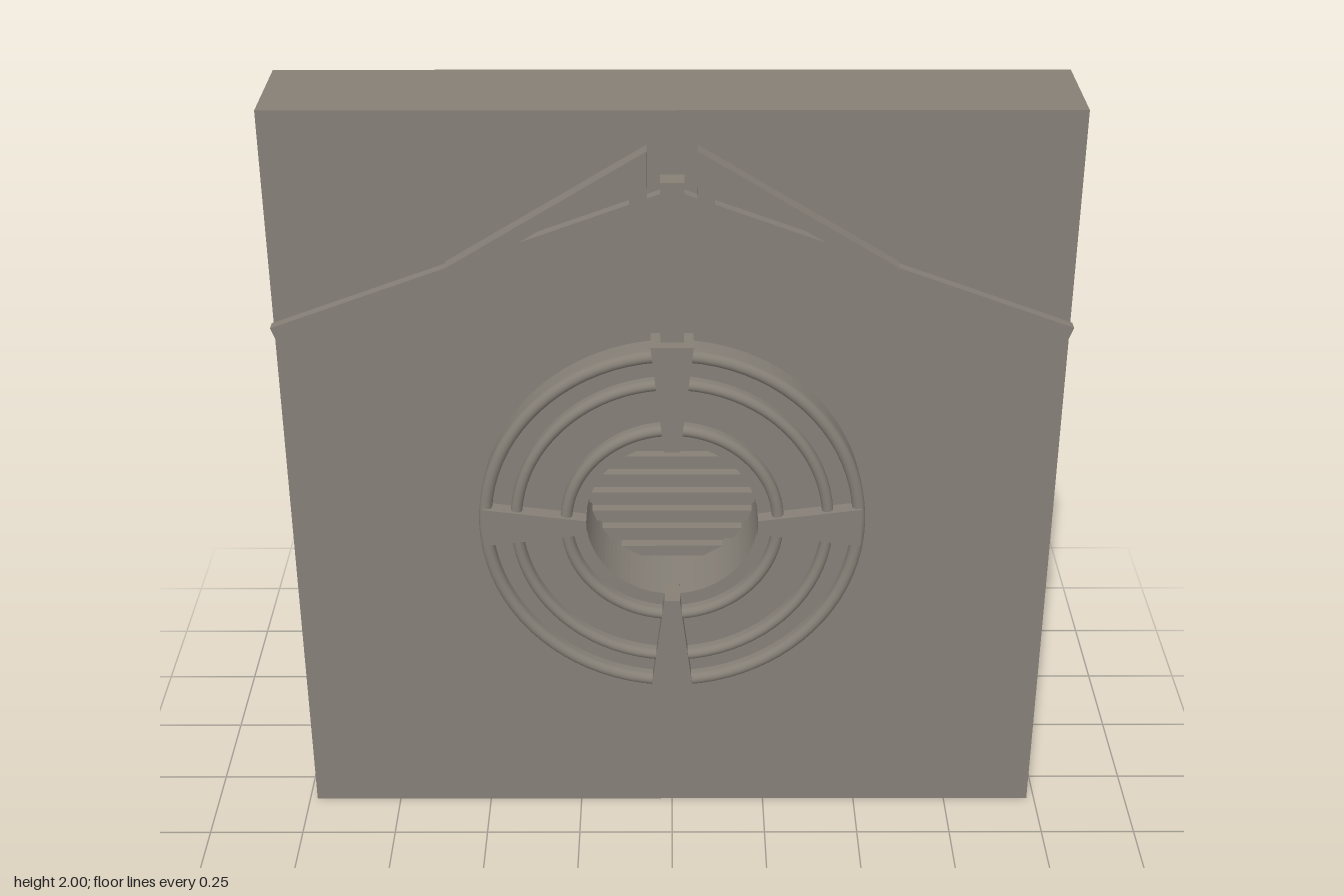
import * as THREE from 'three';

const CY = 0.915;      // height of the dial centre
const FACE = 0.1;      // front plane of the slab
const BACK = -0.19;
const HOLE = 0.22;

export function createModel() {
  const group = new THREE.Group();
  const stone = new THREE.MeshStandardMaterial({ color: 0x857f76 });
  stone.name = 'warm grey stone';

  const add = (name, geometry, x = 0, y = 0, z = 0) => {
    const mesh = new THREE.Mesh(geometry, stone);
    mesh.name = name;
    mesh.position.set(x, y, z);
    group.add(mesh);
    return mesh;
  };
  const polygon = (pts) => new THREE.Shape(pts.map(([x, y]) => new THREE.Vector2(x, y)));
  const extrude = (shape, z0, z1) =>
    new THREE.ExtrudeGeometry(shape, { depth: z1 - z0, bevelEnabled: false, curveSegments: 48 }).translate(0, 0, z0);
  const circleHole = (x, y, r) => new THREE.Path().absarc(x, y, r, 0, Math.PI * 2, true);

  // Slab with a round opening
  const slab = polygon([[-0.98, 0], [0.98, 0], [0.98, 2], [-0.98, 2]]);
  slab.holes.push(circleHole(0, CY, HOLE));
  add('slab', extrude(slab, BACK, FACE));

  // Plug closing the opening, flush with the back
  const floor = -0.05;
  const plug = new THREE.CylinderGeometry(HOLE, HOLE, floor - BACK, 64).rotateX(Math.PI / 2);
  add('plug', plug, 0, CY, (floor + BACK) / 2);

  // Horizontal slats cut to the round opening
  for (let i = 0; i < 8; i++) {
    const y = (i - 3.5) * 0.054;
    const h = 0.015;
    const x0 = Math.sqrt(HOLE ** 2 - (y - h) ** 2);
    const x1 = Math.sqrt(HOLE ** 2 - (y + h) ** 2);
    const slat = polygon([[-x0, y - h], [x0, y - h], [x1, y + h], [-x1, y + h]]);
    add('slat', extrude(slat, floor, -0.02), 0, CY);
  }

  // Raised dial plate
  const dial = new THREE.Shape().absarc(0, 0, 0.49, 0, Math.PI * 2, false);
  dial.holes.push(circleHole(0, 0, HOLE));
  add('dialPlate', extrude(dial, FACE, 0.145), 0, CY);

  // Rounded concentric ridges
  for (const [r0, r1] of [[0.46, 0.492], [0.383, 0.412], [0.255, 0.285]]) {
    const mid = (r0 + r1) / 2;
    const half = (r1 - r0) / 2;
    const profile = [new THREE.Vector2(r1, 0.14)];
    for (let i = 0; i <= 8; i++) {
      const a = (i / 8) * Math.PI;
      profile.push(new THREE.Vector2(mid + half * Math.cos(a), 0.162 + 0.016 * Math.sin(a)));
    }
    profile.push(new THREE.Vector2(r0, 0.14));
    // Lathe runs bottom to top on the outside, so faces point outwards
    add('ridge', new THREE.LatheGeometry(profile, 80).rotateX(Math.PI / 2), 0, CY);
  }

  // Four tapered spokes
  for (let i = 0; i < 4; i++) {
    const outer = i === 0 ? 0.508 : 0.48;
    const spoke = polygon([[-0.02, 0.218], [0.02, 0.218], [0.053, outer], [-0.053, outer]]);
    add('spoke', extrude(spoke, FACE, 0.185), 0, CY).rotation.z = (i * Math.PI) / 2;
  }

  // Post above the dial
  add('post', new THREE.BoxGeometry(0.058, 0.42, 0.055), 0, 1.63, FACE + 0.0275);

  // Mirrored sloping beams and triangular brackets
  for (const s of [-1, 1]) {
    const side = (pts) => polygon(pts.map(([x, y]) => [s * x, y]));
    const beam = side([[0.972, 1.415], [0.985, 1.45], [0.02, 1.805], [0.02, 1.765]]);
    add('slopingBeam', extrude(beam, FACE, 0.13));
    const bracket = side([
      [0.53, 1.585], [0.55, 1.615], [0.06, 1.915], [0.06, 1.76],
      [0.102, 1.76], [0.102, 1.845],
    ]);
    add('bracket', extrude(bracket, FACE, 0.145));
  }

  return group;
}
